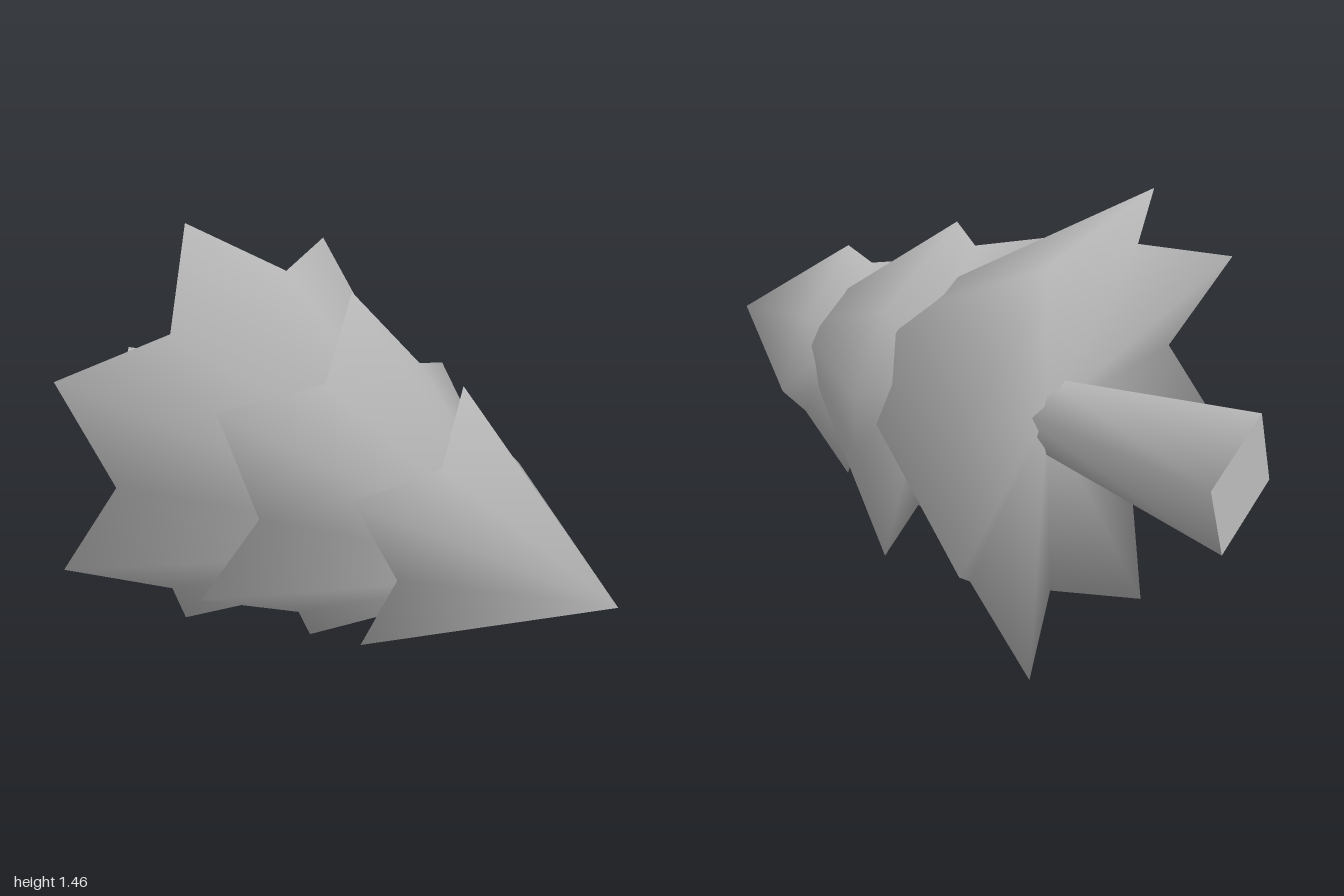
import * as THREE from 'three';

const CX = -0.02, CY = 0.72; // axis of the tree, which lies along z

// Star-rimmed cone of foliage: apex, zigzag rim and hollow underside.
// Rim vertices are shared, so the shading runs smoothly around the edge.
function starTier({ points, angle, apexZ, tipR, tipZ, valleyR, valleyZ, hollowZ }) {
  const n = points * 2;
  const pos = [0, 0, apexZ, 0, 0, hollowZ];
  const index = [];
  for (let i = 0; i < n; i++) {
    const a = THREE.MathUtils.degToRad(angle) + (i / n) * Math.PI * 2;
    const tip = i % 2 === 0;
    const r = tip ? tipR : valleyR;
    pos.push(r * Math.cos(a), r * Math.sin(a), tip ? tipZ : valleyZ);
    const p = 2 + i, q = 2 + ((i + 1) % n);
    index.push(0, p, q, 1, q, p);
  }
  const g = new THREE.BufferGeometry();
  g.setAttribute('position', new THREE.Float32BufferAttribute(pos, 3));
  g.setIndex(index);
  g.computeVertexNormals();
  return g;
}

export function createModel() {
  const model = new THREE.Group();
  model.name = 'fallenTree';
  const grey = new THREE.MeshStandardMaterial({ color: 0xbcbcbc });
  grey.name = 'plainGrey';

  const add = (name, geometry) => {
    const mesh = new THREE.Mesh(geometry, grey);
    mesh.name = name;
    mesh.position.set(CX, CY, 0);
    model.add(mesh);
  };

  // Foliage, from the treetop down
  add('topFoliage', starTier({
    points: 5, angle: 75.5, apexZ: 1, tipR: 0.432, tipZ: 0.36,
    valleyR: 0.29, valleyZ: 0.46, hollowZ: 0.52,
  }));
  add('middleFoliage', starTier({
    points: 6, angle: 79.8, apexZ: 0.76, tipR: 0.602, tipZ: -0.08,
    valleyR: 0.44, valleyZ: 0.05, hollowZ: 0.12,
  }));
  add('bottomFoliage', starTier({
    points: 7, angle: 97.8, apexZ: 0.58, tipR: 0.752, tipZ: -0.6,
    valleyR: 0.58, valleyZ: -0.44, hollowZ: -0.35,
  }));

  // Four-sided trunk, widening towards the root end
  const trunk = new THREE.CylinderGeometry(0.107, 0.208, 0.7, 4, 1, false, THREE.MathUtils.degToRad(21));
  trunk.rotateX(Math.PI / 2);
  trunk.translate(0, 0, -0.65);
  add('trunk', trunk);

  return model;
}
